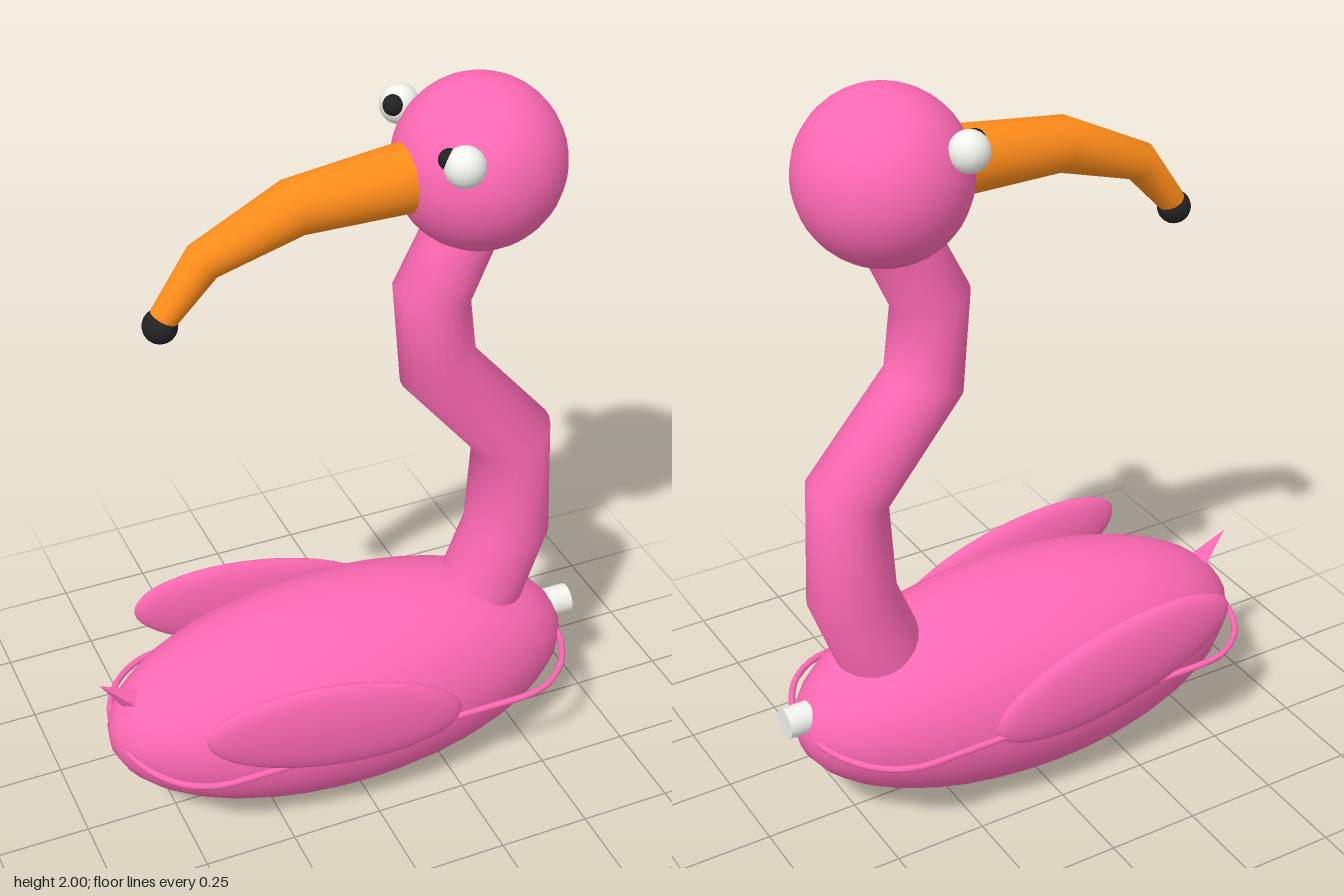
import * as THREE from 'three';

const paint = (color) => new THREE.MeshStandardMaterial({ color, roughness: 0.6 });
const PINK = paint(0xff69b4), ORANGE = paint(0xff8c1a), BLACK = paint(0x222222), WHITE = paint(0xf2f2ec);

function add(parent, name, geometry, material, x = 0, y = 0, z = 0) {
  const mesh = new THREE.Mesh(geometry, material);
  mesh.name = name;
  mesh.position.set(x, y, z);
  parent.add(mesh);
  return mesh;
}

function ellipsoid(rx, ry, rz, w = 32, h = 24) {
  return new THREE.SphereGeometry(1, w, h).scale(rx, ry, rz);
}

// Round tube in the xy plane; each section is a diameter [x0, y0, x1, y1]
function bentTube(sections, sides = 24) {
  const pos = [], index = [];
  sections.forEach(([x0, y0, x1, y1], i) => {
    const r = Math.hypot(x1 - x0, y1 - y0) / 2;
    for (let j = 0; j < sides; j++) {
      const a = (j / sides) * Math.PI * 2, c = Math.cos(a) / 2;
      pos.push((x0 + x1) / 2 + (x1 - x0) * c, (y0 + y1) / 2 + (y1 - y0) * c, r * Math.sin(a));
      if (i === sections.length - 1) continue;
      const p = i * sides + j, q = i * sides + (j + 1) % sides;
      index.push(p, p + sides, q, q, p + sides, q + sides);
    }
  });
  const g = new THREE.BufferGeometry();
  g.setAttribute('position', new THREE.Float32BufferAttribute(pos, 3));
  g.setIndex(index);
  g.computeVertexNormals();
  return g;
}

export function createModel() {
  const model = new THREE.Group();
  model.name = 'inflatableBird';

  // Body
  add(model, 'body', ellipsoid(0.66, 0.295, 0.29), PINK, -0.01, 0.296, 0);

  // Seam: straight sides with elliptical ends
  const seam = [];
  for (let i = 0; i <= 16; i++) {
    const a = -Math.PI / 2 + (i / 16) * Math.PI;
    seam.push(new THREE.Vector3(0.41 + 0.22 * Math.cos(a), 0.3, 0.285 * Math.sin(a)));
  }
  const path = new THREE.CurvePath();
  const loop = [...seam, ...seam.map((p) => new THREE.Vector3(-0.02 - p.x, 0.3, -p.z))];
  loop.forEach((p, i) => path.add(new THREE.LineCurve3(p, loop[(i + 1) % loop.length])));
  add(model, 'seam', new THREE.TubeGeometry(path, 96, 0.009, 8, true), PINK);

  // Neck, bottom to top
  add(model, 'neck', bentTube([
    [0.265, 0.44, 0.49, 0.37],
    [0.365, 0.69, 0.595, 0.66],
    [0.38, 0.93, 0.58, 1.01],
    [0.165, 1.19, 0.355, 1.27],
    [0.14, 1.47, 0.335, 1.43],
    [0.25, 1.69, 0.425, 1.63],
  ]), PINK);

  // Head
  add(model, 'head', ellipsoid(0.214, 0.215, 0.215), PINK, 0.353, 1.785, 0);

  // Beak, root to tip
  add(model, 'beak', bentTube([
    [0.25, 1.695, 0.25, 1.875],
    [0.145, 1.695, 0.145, 1.865],
    [-0.11, 1.695, -0.145, 1.83],
    [-0.325, 1.63, -0.385, 1.71],
    [-0.43, 1.52, -0.497, 1.545],
  ]), ORANGE);
  add(model, 'beakTip', ellipsoid(0.043, 0.043, 0.043, 20, 14), BLACK, -0.466, 1.523, 0);

  // Wings and eyes on both sides
  for (const [side, s] of [['front', 1], ['back', -1]]) {
    const wing = add(model, side + 'Wing', ellipsoid(0.365, 0.13, 0.04), PINK, -0.137, 0.394, s * 0.284);
    wing.rotation.z = -0.21;
    add(model, side + 'Eye', ellipsoid(0.05, 0.05, 0.05, 20, 14), WHITE, 0.226, 1.88, s * 0.18);
    add(model, side + 'Pupil', ellipsoid(0.026, 0.026, 0.026, 16, 12), BLACK, 0.197, 1.893, s * 0.154);
  }

  // Four-sided tail spike
  const tailGeometry = new THREE.ConeGeometry(0.046, 0.15, 4).toNonIndexed();
  tailGeometry.computeVertexNormals();
  add(model, 'tail', tailGeometry, PINK, -0.628, 0.439, 0).rotation.z = 0.855;

  // Air valve
  add(model, 'valve', new THREE.CylinderGeometry(0.041, 0.041, 0.08, 20), WHITE, 0.645, 0.345, 0)
    .rotation.z = -Math.PI / 2;

  return model;
}
